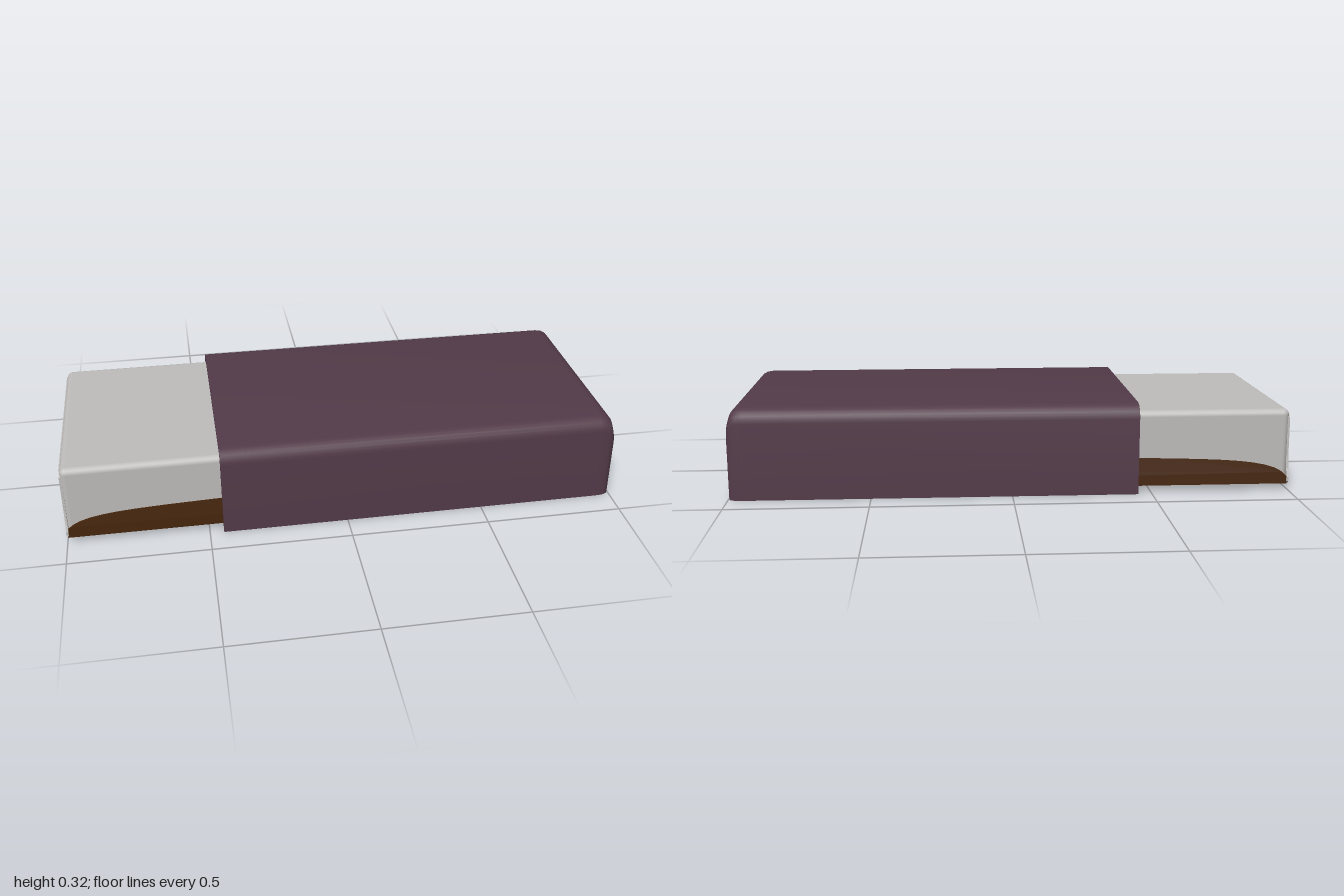
import * as THREE from 'three';
import { toCreasedNormals } from 'three/addons/utils/BufferGeometryUtils.js';
import { RoundedBoxGeometry } from 'three/addons/geometries/RoundedBoxGeometry.js';

// Arch section, from the +z hem over the top to the -z hem, as [z, y]
function arch(halfWidth, top, radius) {
  const half = [[halfWidth, 0], [halfWidth - 0.005, top - radius]];
  const steps = 6;
  for (let i = 1; i <= steps; i++) {
    const a = (i / steps) * Math.PI / 2;
    half.push([halfWidth - 0.005 - radius * (1 - Math.cos(a)), top - radius * (1 - Math.sin(a))]);
  }
  return [...half, ...half.map(([z, y]) => [-z, y]).reverse()];
}

// Thick open-bottomed sleeve lofted along x; each station is [x, halfWidth, top]
function sleeve(stations, thickness) {
  const n = arch(1, 1, 0.05).length;
  const m = 2 * n;
  const pos = [];
  const index = [];
  for (const [x, w, top] of stations) {
    const outer = arch(w, top, 0.05);
    const inner = arch(w - thickness, top - thickness, 0.035).reverse();
    for (const [z, y] of [...outer, ...inner]) pos.push(x, y, z);
  }
  for (let s = 0; s < stations.length - 1; s++) {
    for (let i = 0; i < m; i++) {
      const a = s * m + i;
      const b = s * m + (i + 1) % m;
      index.push(a, a + m, b, b, a + m, b + m);
    }
  }
  // Rim of the open end
  for (let i = 0; i < n - 1; i++) {
    const p = m - 1 - i;
    index.push(i, i + 1, p, p, i + 1, p - 1);
  }
  const geo = new THREE.BufferGeometry();
  geo.setAttribute('position', new THREE.Float32BufferAttribute(pos, 3));
  geo.setIndex(index);
  return toCreasedNormals(geo, 0.7);
}

// Upright panel in the z-y plane, spanning x0 to x0 + depth
function endPanel(points, x0, depth) {
  const shape = new THREE.Shape(points.map(([z, y]) => new THREE.Vector2(-z, y)));
  const geo = new THREE.ExtrudeGeometry(shape, { depth, bevelEnabled: false });
  return geo.rotateY(Math.PI / 2).translate(x0, 0, 0);
}

const mirrored = (half) => [...half, ...half.map(([z, y]) => [-z, y]).reverse()];

export function createModel() {
  const group = new THREE.Group();
  const linen = new THREE.MeshStandardMaterial({ name: 'light grey linen', color: 0xc0bebc });
  const wood = new THREE.MeshStandardMaterial({ name: 'dark brown wood', color: 0x45250c });
  const wool = new THREE.MeshStandardMaterial({ name: 'plum wool', color: 0x533b49, side: THREE.DoubleSide });
  const add = (name, geo, mat) => {
    const mesh = new THREE.Mesh(geo, mat);
    mesh.name = name;
    group.add(mesh);
  };

  // Mattress
  add('mattress', new RoundedBoxGeometry(1.975, 0.265, 0.74, 4, 0.022).translate(-0.0105, 0.1625, 0), linen);

  // Base with curved side rails, flared outward toward the floor
  const side = new THREE.Shape();
  side.moveTo(-0.994, 0.025);
  side.lineTo(0.975, 0.025);
  side.lineTo(0.975, 0.05);
  side.bezierCurveTo(0.93, 0.115, 0.75, 0.115, 0.45, 0.125);
  side.lineTo(-0.45, 0.125);
  side.bezierCurveTo(-0.75, 0.115, -0.95, 0.115, -0.994, 0.05);
  const base = new THREE.ExtrudeGeometry(side, { depth: 2, bevelEnabled: false, curveSegments: 10 });
  base.translate(0, 0, -1);
  const p = base.attributes.position;
  for (let i = 0; i < p.count; i++) {
    const t = Math.max(0, (p.getY(i) - 0.05) / 0.075);
    p.setZ(i, p.getZ(i) * (0.384 - 0.011 * t));
  }
  base.computeVertexNormals();
  add('base', base, wood);

  // Mattress cover hanging over the head end of the base
  const headHalf = [[0.375, 0.026], [0.387, 0.035], [0.387, 0.05], [0.375, 0.08], [0.368, 0.12],
    [0.362, 0.265], [0.345, 0.28]];
  add('headEndCover', endPanel(mirrored(headHalf), -1, 0.008), linen);

  // Blanket with a rounded foot end
  const stations = [
    [-0.45, 0.405, 0.325], [0.94, 0.403, 0.325], [0.96, 0.402, 0.322], [0.975, 0.4, 0.314],
    [0.984, 0.397, 0.303], [0.99, 0.393, 0.288], [0.996, 0.388, 0.27],
  ];
  add('blanket', sleeve(stations, 0.018), wool);
  add('blanketFootEnd', endPanel(arch(0.388, 0.27, 0.05), 0.976, 0.02), wool);
  add('blanketFootTop', endPanel(arch(0.392, 0.286, 0.05), 0.974, 0.0165), wool);

  // Mattress end showing through the blanket at the foot
  const footHalf = [[0.15, 0.022], [0.25, 0.027], [0.32, 0.036], [0.36, 0.05], [0.374, 0.078],
    [0.33, 0.08], [0.28, 0.087], [0.257, 0.1], [0.275, 0.135], [0.318, 0.215], [0.318, 0.26], [0.28, 0.275]];
  add('exposedMattressEnd', endPanel(mirrored(footHalf), 0.991, 0.009), linen);

  return group;
}
